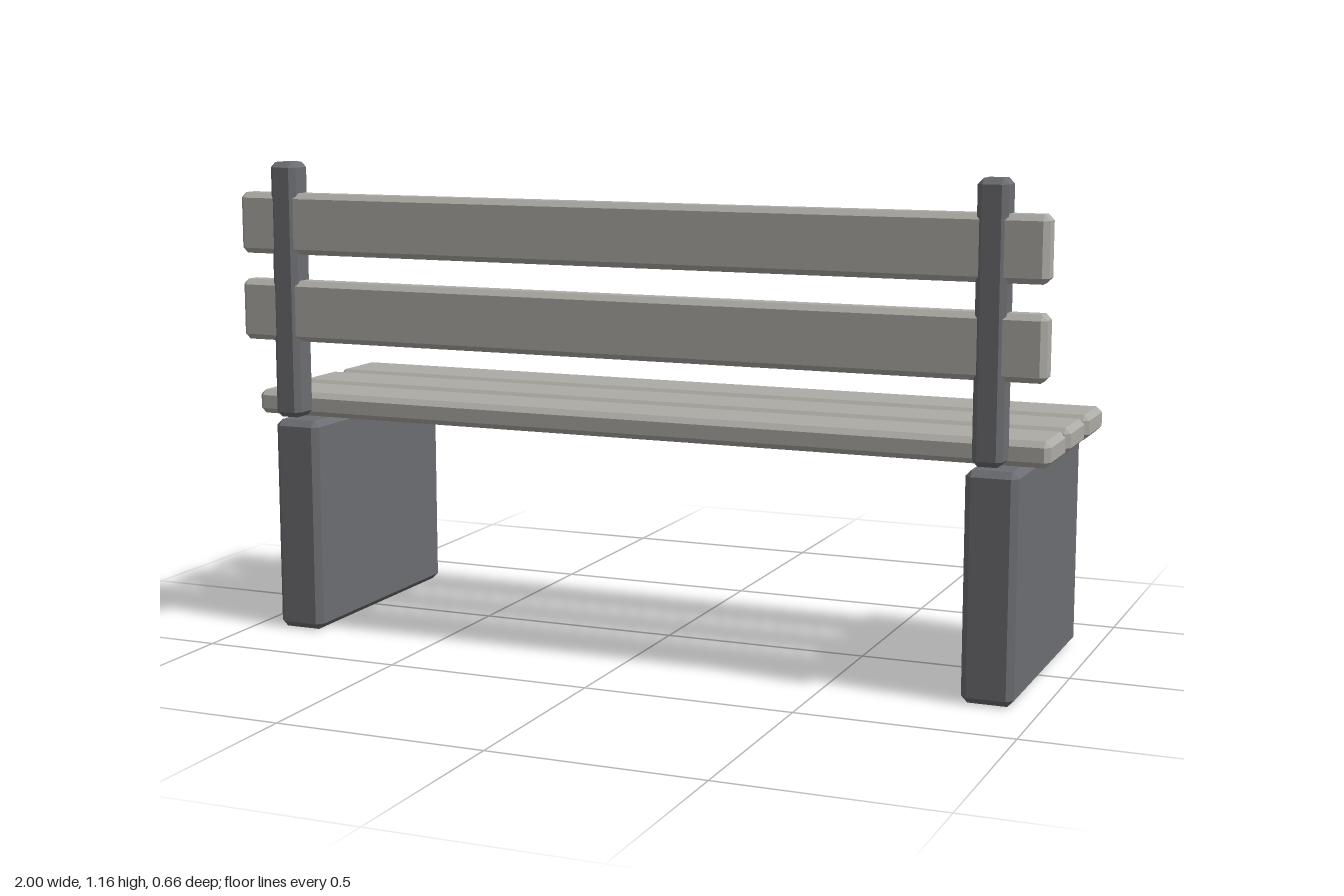
import * as THREE from 'three';
import { ConvexGeometry } from 'three/addons/geometries/ConvexGeometry.js';

const BEVEL = 0.013;

// Box with flat chamfers on every edge, given by its min/max extents
function chamferedBox(name, material, [x0, x1], [y0, y1], [z0, z1], bevel = BEVEL) {
  const half = [(x1 - x0) / 2, (y1 - y0) / 2, (z1 - z0) / 2];
  const points = [];
  for (const sx of [-1, 1]) for (const sy of [-1, 1]) for (const sz of [-1, 1]) {
    for (let axis = 0; axis < 3; axis++) {
      // one point per face meeting at this corner
      const [x, y, z] = half.map((h, i) => (i === axis ? h : h - bevel));
      points.push(new THREE.Vector3(sx * x, sy * y, sz * z));
    }
  }
  const mesh = new THREE.Mesh(new ConvexGeometry(points), material);
  mesh.position.set((x0 + x1) / 2, (y0 + y1) / 2, (z0 + z1) / 2);
  mesh.name = name;
  return mesh;
}

export function createModel() {
  const bench = new THREE.Group();
  bench.name = 'bench';
  const frame = new THREE.MeshStandardMaterial({ color: 0x6c6d72, flatShading: true });
  const plank = new THREE.MeshStandardMaterial({ color: 0xacaba5, flatShading: true });

  // Slab legs and backrest posts on both sides
  for (const [side, s] of [['left', 1], ['right', -1]]) {
    const span = (a, b) => (s > 0 ? [a, b] : [-b, -a]);
    bench.add(chamferedBox(side + 'Leg', frame, span(0.818, 0.938), [0, 0.527], [-0.331, 0.294], 0.015));
    bench.add(chamferedBox(side + 'Post', frame, span(0.842, 0.911), [0.541, 1.164], [0.258, 0.332]));
  }

  // Three seat planks
  [-0.206, -0.012, 0.182].forEach((z, i) => {
    bench.add(chamferedBox('seatPlank' + (i + 1), plank, [-1, 1], [0.535, 0.594], [z - 0.082, z + 0.082]));
  });

  // Two backrest planks, threaded through the posts
  [0.803, 1.015].forEach((y, i) => {
    bench.add(chamferedBox('backPlank' + (i + 1), plank, [-1, 1], [y - 0.074, y + 0.074], [0.264, 0.326]));
  });

  return bench;
}
